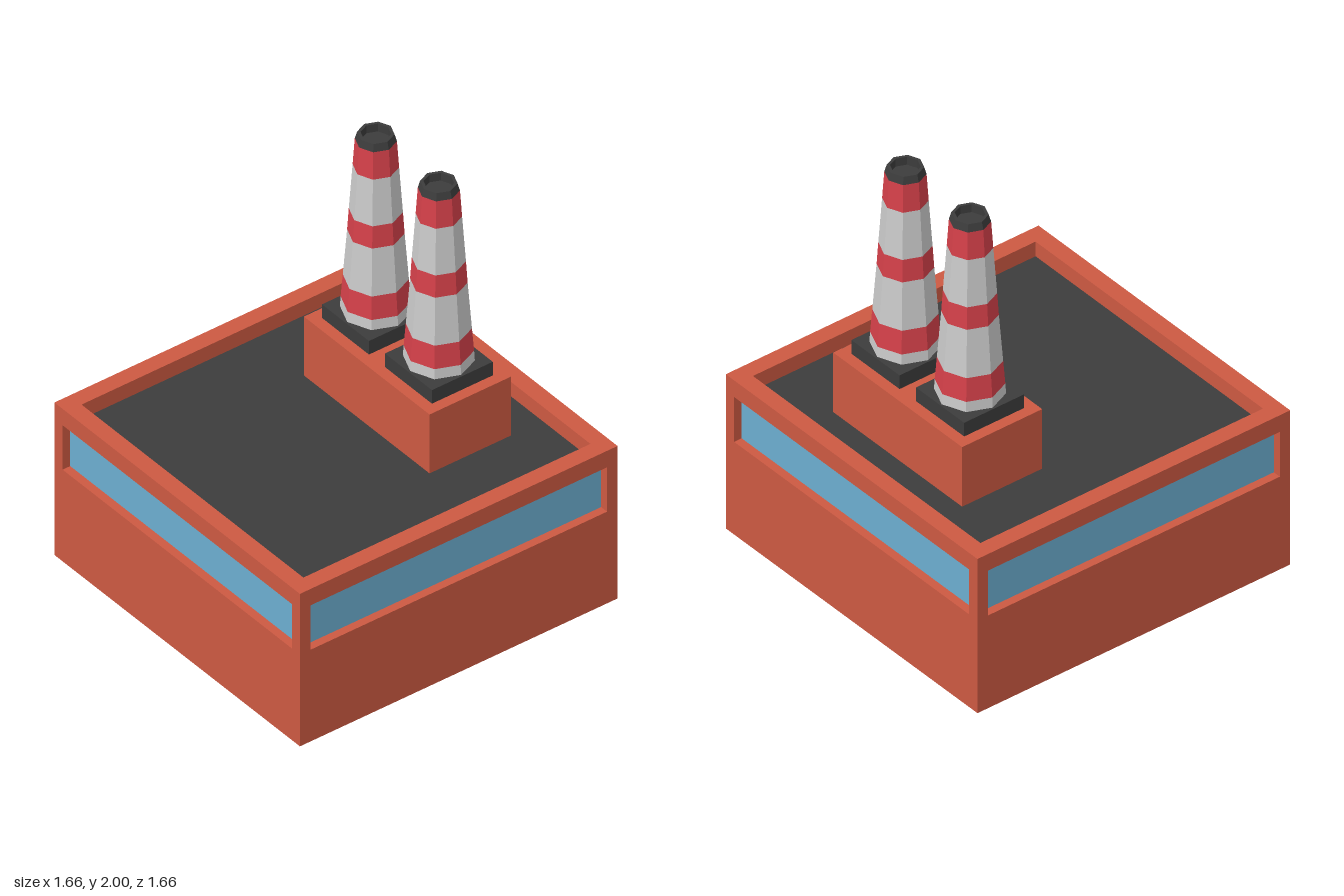
import * as THREE from 'three';

const mat = (color) => new THREE.MeshStandardMaterial({ color, flatShading: true });
const brick = mat(0xcc5942);
const dark = mat(0x3c3c3c);
const glass = mat(0x6caecf);
const red = mat(0xd6414a);
const white = mat(0xcccccc);

function add(parent, name, geometry, material, x = 0, y = 0, z = 0) {
  const mesh = new THREE.Mesh(geometry, material);
  mesh.name = name;
  mesh.position.set(x, y, z);
  parent.add(mesh);
  return mesh;
}

// Box given by its size and the height of its underside
function box(parent, name, material, w, h, d, x, y0, z) {
  return add(parent, name, new THREE.BoxGeometry(w, h, d), material, x, y0 + h / 2, z);
}

function square(PathType, half) {
  return new PathType([[-1, -1], [1, -1], [1, 1], [-1, 1]]
    .map(([x, y]) => new THREE.Vector2(x * half, y * half)));
}

const HALF = 0.83, SILL = 0.475, HEAD = 0.705, TOP = 0.79, ROOF = 0.715;

function createHall() {
  const hall = new THREE.Group();
  hall.name = 'hall';
  box(hall, 'lowerWalls', brick, HALF * 2, SILL, HALF * 2, 0, 0, 0);

  // Recessed window band on all four sides, held between corner posts
  box(hall, 'windows', glass, 1.58, HEAD - SILL, 1.58, 0, SILL, 0);
  const post = 0.055;
  for (const sx of [-1, 1]) {
    for (const sz of [-1, 1]) {
      box(hall, 'cornerPost', brick, post, HEAD - SILL, post,
        sx * (HALF - post / 2), SILL, sz * (HALF - post / 2));
    }
  }

  // Parapet ring above the windows, with the sunken roof inside it
  const ring = square(THREE.Shape, HALF);
  ring.holes.push(square(THREE.Path, 0.75));
  const parapet = new THREE.ExtrudeGeometry(ring, { depth: TOP - HEAD, bevelEnabled: false });
  parapet.rotateX(-Math.PI / 2);
  add(hall, 'parapet', parapet, brick, 0, HEAD, 0);
  box(hall, 'roof', dark, 1.5, ROOF - HEAD, 1.5, 0, HEAD, 0);
  return hall;
}

// Eight-sided striped stack with a hollow dark mouth
function createChimney() {
  const chimney = new THREE.Group();
  chimney.name = 'chimney';
  box(chimney, 'chimneyBase', dark, 0.318, 0.07, 0.318, 0, 0, 0);

  // [height, radius] at each colour change
  const levels = [[0.07, 0.15], [0.12, 0.147], [0.235, 0.138], [0.47, 0.12],
    [0.58, 0.113], [0.81, 0.097], [0.945, 0.088]];
  for (let i = 0; i < levels.length - 1; i++) {
    const [y0, r0] = levels[i], [y1, r1] = levels[i + 1];
    add(chimney, i % 2 ? 'redBand' : 'whiteBand',
      new THREE.CylinderGeometry(r1, r0, y1 - y0, 8, 1, true),
      i % 2 ? red : white, 0, (y0 + y1) / 2, 0);
  }

  const mouth = [[0.088, 0.945], [0.078, 0.98], [0.064, 0.98], [0.064, 0.94], [0, 0.94]]
    .map(([r, y]) => new THREE.Vector2(r, y));
  add(chimney, 'chimneyMouth', new THREE.LatheGeometry(mouth, 8),
    new THREE.MeshStandardMaterial({ color: 0x3c3c3c, flatShading: true, side: THREE.DoubleSide }));
  return chimney;
}

export function createModel() {
  const model = new THREE.Group();
  model.name = 'factory';
  model.add(createHall());

  // Rooftop plinth carrying the two chimneys
  const z = -0.373, plinthTop = 1.02;
  box(model, 'chimneyPlinth', brick, 0.85, plinthTop - ROOF, 0.425, 0, ROOF, z);
  for (const side of [-1, 1]) {
    const chimney = createChimney();
    chimney.position.set(side * 0.213, plinthTop, z);
    model.add(chimney);
  }
  return model;
}
